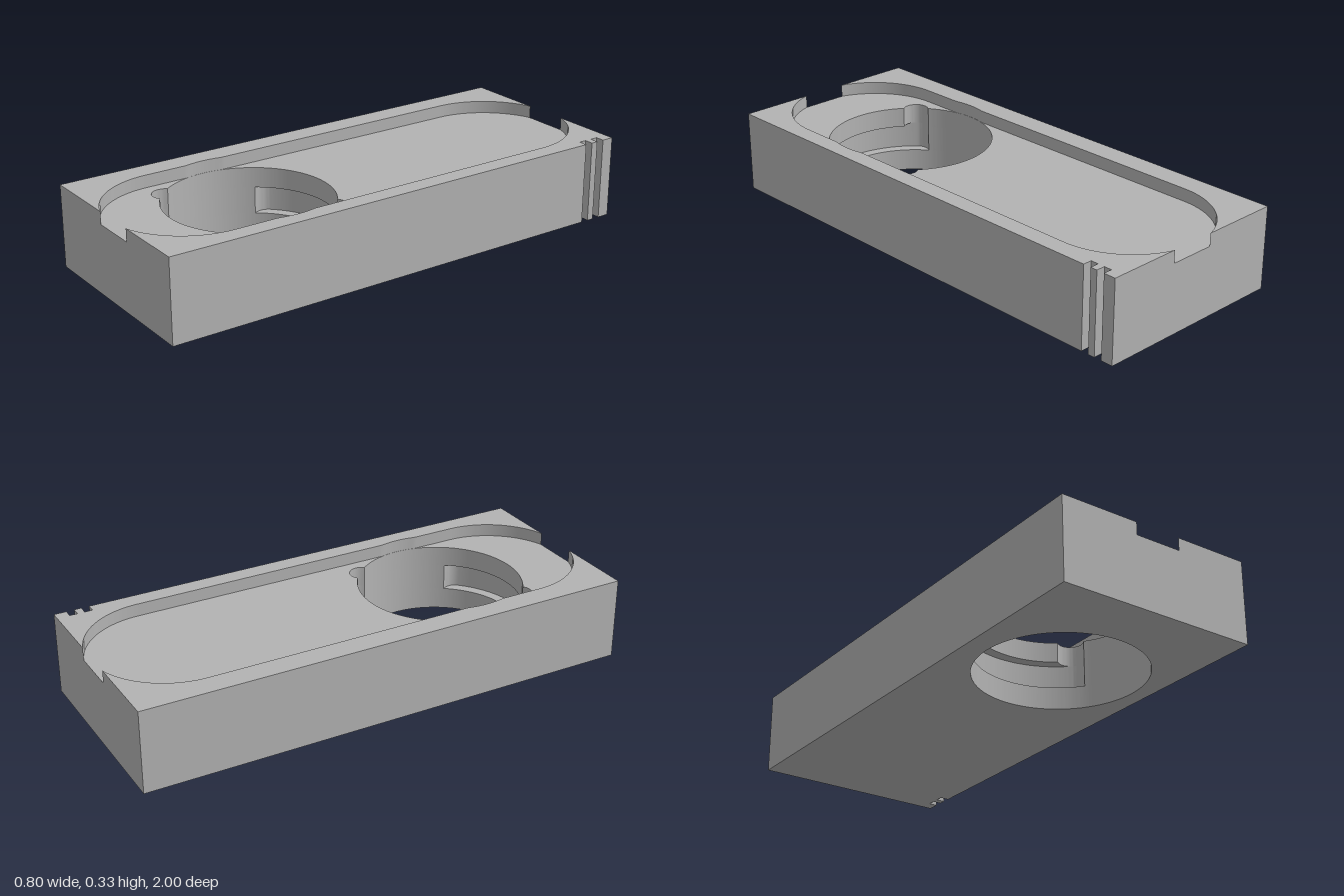
import * as THREE from 'three';
import { mergeGeometries, toCreasedNormals } from 'three/addons/utils/BufferGeometryUtils.js';

const HX = 0.4, HZ = 1, FLOOR = 0.277, TOP = 0.327;
const CX = 0.011, BORE_Z = 0.448, BORE_R = 0.324;     // through bore
const SLOT_R = 0.316, SLOT_Z = 0.698;                 // rounded pocket in the top
const LUG_D = 0.316, LUG_R = 0.05;                    // bayonet entry and groove
const GROOVE_LOW = 0.089, GROOVE_HIGH = 0.196;

// Surface between two matching plan outlines [x, z] at heights ya and yb
function loft(a, ya, b, yb) {
  const pos = [];
  for (let i = 0; i < a.length; i++) {
    const j = (i + 1) % a.length;
    const A0 = [a[i][0], ya, a[i][1]], A1 = [a[j][0], ya, a[j][1]];
    const B0 = [b[i][0], yb, b[i][1]], B1 = [b[j][0], yb, b[j][1]];
    const same = (p, q) => p.every((v, k) => Math.abs(v - q[k]) < 1e-7);
    if (!same(A0, A1) && !same(A1, B1)) pos.push(...A0, ...A1, ...B1);
    if (!same(A0, B0) && !same(B0, B1)) pos.push(...A0, ...B1, ...B0);
  }
  const g = new THREE.BufferGeometry();
  g.setAttribute('position', new THREE.Float32BufferAttribute(pos, 3));
  return toCreasedNormals(g, 0.5);
}

// Flat face from a plan outline, facing up or down
function flat(points, y, up, hole) {
  const toV = (pts) => pts.map(([x, z]) => new THREE.Vector2(x, up ? -z : z));
  const shape = new THREE.Shape(toV(points));
  if (hole) shape.holes.push(new THREE.Path(toV(hole)));
  const g = new THREE.ShapeGeometry(shape).toNonIndexed();
  g.deleteAttribute('uv');
  return g.rotateX(up ? -Math.PI / 2 : Math.PI / 2).translate(0, y, 0);
}

// Bore outline widened by two opposite round-ended arcs
function boreOutline(centre, halfSpan) {
  const pts = [];
  for (let deg = 0; deg < 360; deg++) {
    let r = BORE_R;
    if (centre !== null) {
      const off = Math.abs((((deg - centre) % 180) + 270) % 180 - 90);
      const d = THREE.MathUtils.degToRad(Math.max(0, off - halfSpan));
      const q = LUG_R ** 2 - (LUG_D * Math.sin(d)) ** 2;
      if (q > 0) r = Math.max(r, LUG_D * Math.cos(d) + Math.sqrt(q));
    }
    const t = THREE.MathUtils.degToRad(deg);
    pts.push([CX + r * Math.cos(t), BORE_Z + r * Math.sin(t)]);
  }
  return pts;
}

// Half width of the pocket at z, bulging slightly where the bore cuts the rim
function pocketHalf(z) {
  const e = Math.max(0, Math.abs(z) - SLOT_Z);
  const bulge = (BORE_R + 0.001) ** 2 - (z - BORE_Z) ** 2;
  return Math.max(Math.sqrt(SLOT_R ** 2 - e * e), Math.sqrt(Math.max(0, bulge)));
}

export function createModel() {
  const model = new THREE.Group();
  const grey = new THREE.MeshStandardMaterial({ color: 0xb2b2b2 });
  grey.name = 'grey';
  const add = (name, parts) => {
    const mesh = new THREE.Mesh(mergeGeometries(parts), grey);
    mesh.name = name;
    model.add(mesh);
  };

  // Right-hand edge in plan, with two small vertical grooves near the back
  const edge = [[HX, HZ]];
  for (const [z0, z1] of [[-0.861, -0.892], [-0.92, -0.951]]) {
    edge.push([HX, z0], [0.364, z0], [0.364, z1], [HX, z1]);
  }
  edge.push([HX, -HZ]);

  // Pocket sides from back to front
  const sideP = [], sideN = [];
  const N = 200;
  for (let i = 0; i <= N; i++) {
    const z = -HZ + (2 * HZ * i) / N, w = pocketHalf(z);
    sideP.push([CX + w, z]);
    sideN.push([CX - w, z]);
  }
  const sideNBack = [...sideN].reverse();

  const bore = boreOutline(null, 0);
  const groove = boreOutline(90, 45);
  const entry = boreOutline(135, 0);

  // Block sides and underside
  const outer = [[-HX, HZ], ...edge, [-HX, -HZ]];
  add('block', [loft(outer, 0, outer, FLOOR), flat(outer, 0, false, bore)]);

  // Pocket floor
  add('pocketFloor', [flat([...sideP, ...sideNBack], FLOOR, true, entry)]);

  // Raised rims on both sides of the pocket
  const rims = { leftRim: [...edge, ...sideP], rightRim: [...sideNBack, [-HX, -HZ], [-HX, HZ]] };
  for (const [name, loop] of Object.entries(rims)) {
    add(name, [loft(loop, FLOOR, loop, TOP), flat(loop, TOP, true)]);
  }

  // Bore with bayonet grooves and their entry notches, from bottom to top
  const levels = [
    [bore, 0], [bore, GROOVE_LOW], [groove, GROOVE_LOW],
    [groove, GROOVE_HIGH], [entry, GROOVE_HIGH], [entry, FLOOR],
  ];
  const walls = [];
  for (let i = 0; i + 1 < levels.length; i++) walls.push(loft(...levels[i], ...levels[i + 1]));
  add('bayonetBore', walls);

  return model;
}
